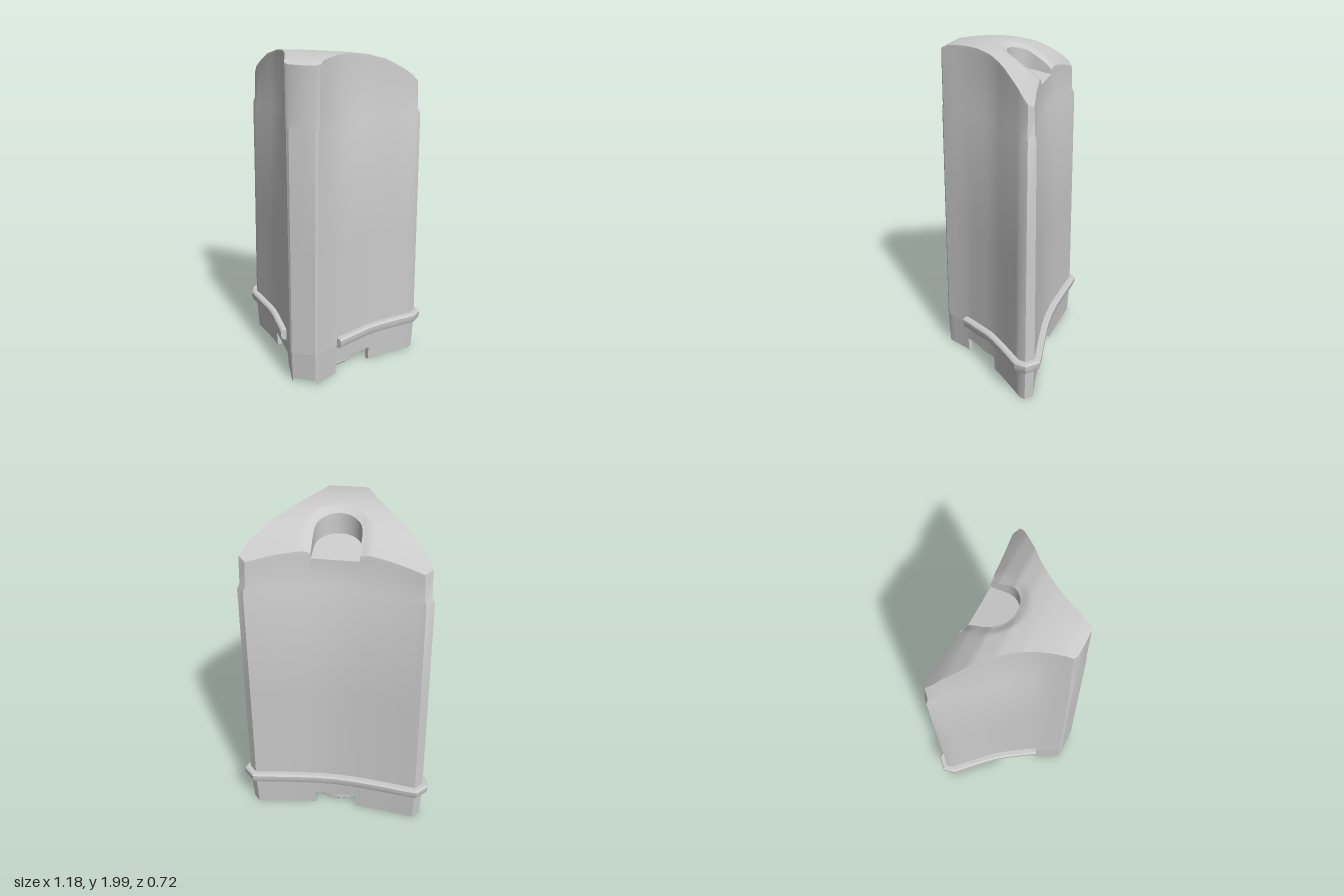
import * as THREE from 'three';
import { toCreasedNormals } from 'three/addons/utils/BufferGeometryUtils.js';

const mat = new THREE.MeshStandardMaterial({ color: 0xcccccc, side: THREE.DoubleSide });
const lerp = THREE.MathUtils.lerp;

// Half outlines as [x, z], rear centre -> corner -> concave side -> nose
const BASE = [[0, -.28], [.13, -.285], [.3, -.303], [.51, -.33], [.555, -.285], [.54, -.24],
  [.42, -.125], [.32, -.02], [.24, .09], [.165, .2], [.09, .35], [.075, .36], [0, .36]];
const TOP = [[0, -.238], [.13, -.245], [.3, -.265], [.475, -.295], [.512, -.27], [.49, -.235],
  [.38, -.12], [.29, -.03], [.215, .07], [.15, .19], [.1, .335], [.075, .348], [0, .35]];

// Smooths the rear and side runs, then mirrors into a closed outline
function outline(half) {
  const run = (a, b) => new THREE.CatmullRomCurve3(
    half.slice(a, b + 1).map(([x, z]) => new THREE.Vector3(x, 0, z))).getPoints((b - a) * 4).map(p => [p.x, p.z]);
  const pts = [half[0], ...run(1, 3), half[4], ...run(5, 10), ...half.slice(11)];
  return [...pts, ...pts.slice(1, -1).reverse().map(([x, z]) => [-x, z])];
}
const base = outline(BASE), top = outline(TOP), N = base.length;
const mix = (i, t) => [lerp(base[i][0], top[i][0], t), lerp(base[i][1], top[i][1], t)];

// Moves outline point i along its outward normal
function offset(i, d) {
  const a = base[(i + N - 1) % N], p = base[i], b = base[(i + 1) % N];
  const nx = b[1] - a[1], nz = a[0] - b[0], l = Math.hypot(nx, nz);
  return [p[0] + nx / l * d, p[1] + nz / l * d];
}
const at = ([x, z], y) => [x, y, z];

// Collects quads into one mesh with creased smooth normals
class Surface {
  constructor() { this.v = []; }
  quad(a, b, c, d) { this.v.push(...a, ...b, ...c, ...a, ...c, ...d); }
  mesh(name, crease = .5) {
    const g = new THREE.BufferGeometry();
    g.setAttribute('position', new THREE.Float32BufferAttribute(this.v, 3));
    const m = new THREE.Mesh(toCreasedNormals(g, crease), mat);
    m.name = name;
    return m;
  }
}

// Domed top height, with a shallow dish around the grip recess
const HZ = [[-.34, 1.75], [-.3, 1.795], [-.25, 1.845], [-.2, 1.89], [-.1, 1.955], [0, 1.988], [.1, 2],
  [.2, 1.998], [.3, 1.985], [.37, 1.95]];
function topY([x, z]) {
  let k = 0;
  while (k < HZ.length - 2 && z > HZ[k + 1][0]) k++;
  const y = THREE.MathUtils.mapLinear(z, HZ[k][0], HZ[k + 1][0], HZ[k][1], HZ[k + 1][1]);
  const r = Math.hypot(x, Math.max(0, z + .15));
  return y - .1 * x * x - .018 * (1 - THREE.MathUtils.smoothstep(r, .13, .18));
}
const floorY = z => 1.8 + (z + .245) * .2;
const isRearGap = i => {
  const j = (i + 1) % N;
  return base[i][1] < -.2 && Math.abs(base[i][0] + base[j][0]) / 2 < .13;
};

// Tall shell: tapered walls, stepped shoulders, rounded rim
function shell() {
  const s = new Surface();
  const column = (i, gap) => {
    const rim = mix(i, .92), cap = top[i];
    const drop = cap[1] > .3 ? .05 : .022;
    const lower = [at(mix(i, 0), .22), at(mix(i, .22), .9), at(mix(i, .45), 1.6), at(mix(i, .8), 1.635)];
    return gap ? [...lower, at(cap, floorY(cap[1]))]
      : [...lower, at(rim, topY(cap) - drop), at(cap, topY(cap))];
  };
  for (let i = 0; i < N; i++) {
    const gap = isRearGap(i), a = column(i, gap), b = column((i + 1) % N, gap);
    for (let k = 0; k < a.length - 1; k++) s.quad(b[k], a[k], a[k + 1], b[k + 1]);
  }
  return s.mesh('bodyShell');
}

// Point on the U-shaped recess edge, u from right rear to left rear
function recessEdge(u) {
  const w = .13, zs = -.15, straight = .095, arc = Math.PI * w, d = u * (2 * straight + arc);
  if (d < straight) return [w, -.245 + d];
  if (d > straight + arc) return [-w, zs - (d - straight - arc)];
  const a = (d - straight) / w;
  return [w * Math.cos(a), zs + w * Math.sin(a)];
}

// Domed cap lofted between the recess edge and the outer rim
function topCap() {
  const s = new Surface(), rim = top.slice(1), len = [0], steps = 14;
  for (let i = 1; i < rim.length; i++)
    len.push(len[i - 1] + Math.hypot(rim[i][0] - rim[i - 1][0], rim[i][1] - rim[i - 1][1]));
  const total = len[len.length - 1];
  const P = (i, k) => {
    const q = recessEdge(len[i] / total), t = k / steps;
    const p = [lerp(q[0], rim[i][0], t), lerp(q[1], rim[i][1], t)];
    return at(p, topY(p));
  };
  for (let i = 0; i < rim.length - 1; i++)
    for (let k = 0; k < steps; k++) s.quad(P(i, k), P(i + 1, k), P(i + 1, k + 1), P(i, k + 1));
  // flip every quad to face upward
  for (let n = 0; n < s.v.length; n += 9)
    for (let c = 0; c < 3; c++) [s.v[n + c], s.v[n + 3 + c]] = [s.v[n + 3 + c], s.v[n + c]];
  return s.mesh('topCap');
}

// Finger recess: upright U wall and sloping floor, open to the rear
function gripRecess() {
  const s = new Surface(), n = 40;
  const lo = u => { const p = recessEdge(u); return at(p, floorY(p[1])); };
  const hi = u => { const p = recessEdge(u); return at(p, topY(p)); };
  for (let i = 0; i < n; i++) s.quad(lo(i / n), lo((i + 1) / n), hi((i + 1) / n), hi(i / n));
  for (let i = 0; i < n / 2; i++)
    s.quad(lo(i / n), lo(1 - i / n), lo(1 - (i + 1) / n), lo((i + 1) / n));
  return s.mesh('gripRecess');
}

// Hollow skirt with cut-outs leaving three feet
function skirt() {
  const s = new Surface();
  const bottom = i => {
    const z = (base[i][1] + base[(i + 1) % N][1]) / 2;
    if (isRearGap(i) || (z > -.02 && z < .2)) return .1;
    return z > .355 ? .035 : .01;
  };
  for (let i = 0; i < N; i++) {
    const j = (i + 1) % N, y = bottom(i), yp = bottom((i + N - 1) % N);
    const out = (k, h) => at(offset(k, -.012 * (1 - h / .22)), h), inn = (k, h) => at(offset(k, -.04), h);
    s.quad(out(j, y), out(i, y), out(i, .22), out(j, .22));
    s.quad(inn(i, y), inn(j, y), inn(j, .11), inn(i, .11));
    s.quad(out(i, y), out(j, y), inn(j, y), inn(i, y));
    if (y !== yp) s.quad(out(i, y), inn(i, y), inn(i, yp), out(i, yp));
  }
  return s.mesh('skirt');
}

// Raised band round the rear and corners, ending part way along the sides
function band() {
  const s = new Surface(), profile = [[-.005, .213], [.026, .22], [.036, .245], [.036, .272], [.026, .282], [-.02, .282]];
  const ring = i => profile.map(([d, y]) => at(offset(i, d), y - Math.max(0, base[i][1]) * .06));
  const inBand = i => base[(i + N) % N][1] < .201;
  for (let i = 0; i < N; i++) {
    const j = (i + 1) % N;
    if (!inBand(i) || !inBand(j)) continue;
    const a = ring(i), b = ring(j);
    for (let k = 0; k < 5; k++) s.quad(b[k], a[k], a[k + 1], b[k + 1]);
    for (const [r, next] of [[a, i - 1], [b, j + 1]])
      if (!inBand(next % N)) { s.quad(r[0], r[1], r[2], r[5]); s.quad(r[2], r[3], r[4], r[5]); }
  }
  return s.mesh('band');
}

// Underside plate closing the body above the skirt
function underside() {
  const g = new THREE.ShapeGeometry(new THREE.Shape(base.map((_, i) => new THREE.Vector2(...offset(i, -.008)))));
  const m = new THREE.Mesh(g.rotateX(Math.PI / 2).translate(0, .1, 0), mat);
  m.name = 'underside';
  return m;
}

// Round locking dial with a raised rim and diagonal grip bar
function dial() {
  const g = new THREE.Group();
  g.name = 'dial';
  const profile = [[0, .055], [.175, .055], [.178, .02], [.2, .02], [.208, .03], [.208, .1]]
    .map(([r, y]) => new THREE.Vector2(r, y));
  const cup = new THREE.Mesh(toCreasedNormals(new THREE.LatheGeometry(profile, 40), .5), mat);
  cup.name = 'dialCup';
  const bar = new THREE.Mesh(new THREE.BoxGeometry(.35, .035, .04), mat);
  bar.name = 'dialBar';
  bar.position.y = .042;
  bar.rotation.y = Math.PI / 4;
  g.add(cup, bar);
  g.position.z = -.035;
  return g;
}

export function createModel() {
  const model = new THREE.Group();
  model.name = 'canister';
  model.add(shell(), topCap(), gripRecess(), skirt(), band(), underside(), dial());
  return model;
}
